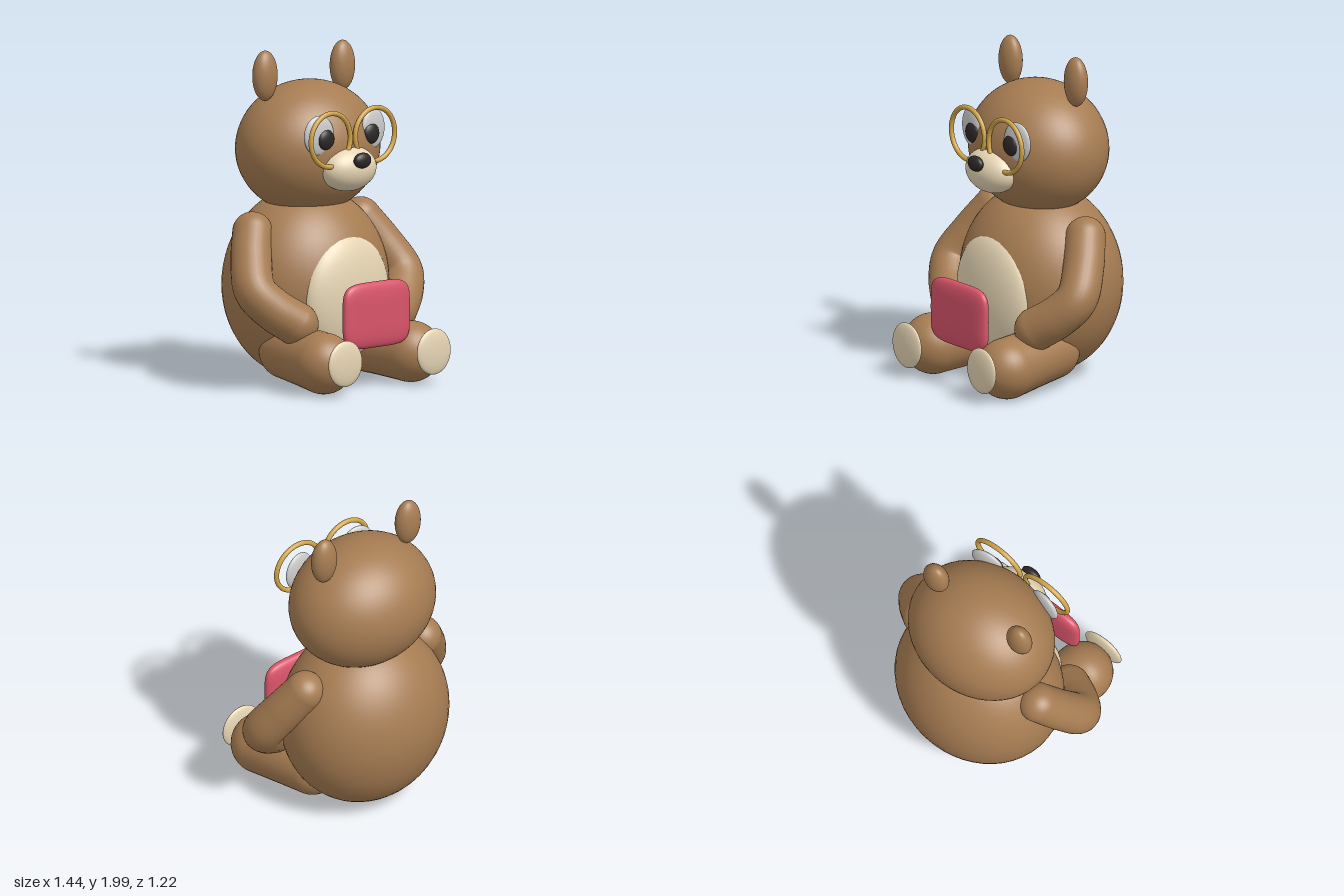
import * as THREE from 'three';
import { mergeVertices } from 'three/addons/utils/BufferGeometryUtils.js';

const material = (color) => new THREE.MeshStandardMaterial({ color });

export function createModel() {
  const model = new THREE.Group();
  model.name = 'seatedBear';
  const fur = material(0xa67c52), cream = material(0xe6d5b4), dark = material(0x2c2726);
  const white = material(0xcccccc), gold = material(0xcfa348), red = material(0xd9546a);

  function add(name, geometry, mat, position = [0, 0, 0], parent = model) {
    const mesh = new THREE.Mesh(geometry, mat);
    mesh.name = name;
    mesh.position.set(...position);
    parent.add(mesh);
    return mesh;
  }

  function ellipsoid(name, mat, position, radii) {
    const geometry = new THREE.SphereGeometry(1, 48, 32).scale(...radii);
    return add(name, geometry, mat, position);
  }

  // Rounded limb: a tube whose radius blends from r0 to r1, closed by spheres
  function limb(name, points, r0, r1) {
    const group = new THREE.Group();
    group.name = name;
    const path = new THREE.CatmullRomCurve3(points.map((p) => new THREE.Vector3(...p)));
    const rings = 32, sides = 28;
    const tube = new THREE.TubeGeometry(path, rings, 1, sides);
    const pos = tube.attributes.position, v = new THREE.Vector3();
    for (let i = 0; i < pos.count; i++) {
      const t = Math.floor(i / (sides + 1)) / rings;
      const centre = path.getPointAt(t);
      v.fromBufferAttribute(pos, i).sub(centre).multiplyScalar(r0 + (r1 - r0) * t).add(centre);
      pos.setXYZ(i, v.x, v.y, v.z);
    }
    add(name + 'Tube', tube, fur, [0, 0, 0], group);
    add(name + 'Root', new THREE.SphereGeometry(r0, 32, 24), fur, points[0], group);
    add(name + 'Tip', new THREE.SphereGeometry(r1, 32, 24), fur, points[points.length - 1], group);
    model.add(group);
  }

  // Cushion: a sphere squared off into a superellipsoid, poles along z
  function cushion(rx, ry, rz, outline, profile) {
    const geometry = new THREE.SphereGeometry(1, 80, 40).rotateX(Math.PI / 2);
    const pos = geometry.attributes.position;
    const power = (a, e) => Math.sign(a) * Math.pow(Math.abs(a), e);
    for (let i = 0; i < pos.count; i++) {
      const x = pos.getX(i), y = pos.getY(i), z = pos.getZ(i);
      const r = Math.hypot(x, y), k = power(r, profile);
      const c = r > 1e-6 ? x / r : 0, s = r > 1e-6 ? y / r : 0;
      pos.setXYZ(i, rx * k * power(c, outline), ry * k * power(s, outline), rz * power(z, 0.8));
    }
    geometry.deleteAttribute('uv');
    geometry.deleteAttribute('normal');
    const merged = mergeVertices(geometry, 1e-5);
    merged.computeVertexNormals();
    return merged;
  }

  // Torso and head
  ellipsoid('body', fur, [0, 0.585, -0.15], [0.53, 0.575, 0.46]);
  ellipsoid('belly', cream, [0, 0.54, 0.2], [0.33, 0.37, 0.125]);
  ellipsoid('head', fur, [0, 1.4, -0.13], [0.465, 0.4, 0.39]);
  ellipsoid('muzzle', cream, [0, 1.305, 0.22], [0.195, 0.135, 0.13]);
  ellipsoid('nose', dark, [0, 1.365, 0.343], [0.065, 0.047, 0.032]);

  // Mirrored parts
  for (const [side, s] of [['left', 1], ['right', -1]]) {
    ellipsoid(side + 'Ear', fur, [s * 0.315, 1.85, -0.165], [0.085, 0.15, 0.063]);

    const eye = ellipsoid(side + 'Eye', white, [s * 0.22, 1.52, 0.2], [0.105, 0.12, 0.03]);
    eye.rotation.y = s * 0.15;
    ellipsoid(side + 'Pupil', dark, [s * 0.183, 1.495, 0.222], [0.062, 0.062, 0.03]);
    add(side + 'GlassesRim', new THREE.TorusGeometry(0.16, 0.015, 16, 64), gold, [s * 0.18, 1.495, 0.26]);

    limb(side + 'Arm', [
      [s * 0.44, 0.93, -0.14], [s * 0.535, 0.77, -0.05], [s * 0.595, 0.61, 0.05],
      [s * 0.52, 0.5, 0.13], [s * 0.4, 0.41, 0.2],
    ], 0.12, 0.13);

    limb(side + 'Leg', [[s * 0.28, 0.215, -0.01], [s * 0.32, 0.205, 0.19], [s * 0.355, 0.19, 0.385]], 0.168, 0.183);
    ellipsoid(side + 'FootPad', cream, [s * 0.36, 0.208, 0.577], [0.135, 0.138, 0.03]);
  }

  // Red cushion held in front of the belly
  add('cushion', cushion(0.265, 0.197, 0.044, 0.42, 0.55), red, [0, 0.457, 0.462]);

  return model;
}
